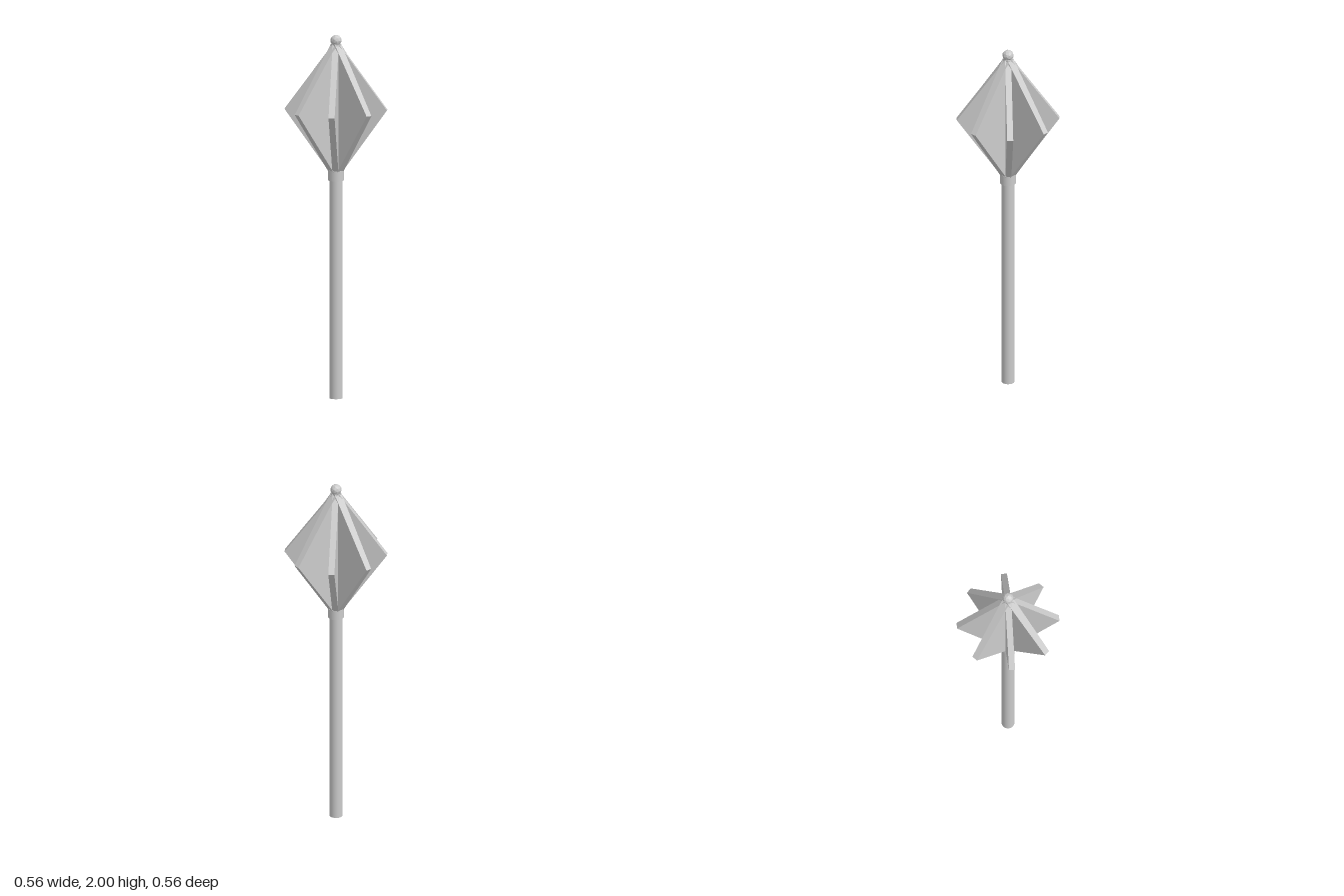
import * as THREE from 'three';

export function createModel() {
  const model = new THREE.Group();
  const smooth = new THREE.MeshStandardMaterial({ color: 0xcccccc });
  const flat = new THREE.MeshStandardMaterial({ color: 0xcccccc, flatShading: true });

  const add = (name, geometry, material, y = 0) => {
    const mesh = new THREE.Mesh(geometry, material);
    mesh.name = name;
    mesh.position.y = y;
    model.add(mesh);
    return mesh;
  };

  // Handle and the collar under the head
  add('shaft', new THREE.CylinderGeometry(0.035, 0.035, 1.22, 24), smooth, 0.61);
  add('collar', new THREE.CylinderGeometry(0.043, 0.043, 0.055, 24), smooth, 1.2275);

  // Faceted knob on the tip
  add('knob', new THREE.IcosahedronGeometry(0.031, 1), flat, 1.969);

  // One flange: half a diamond from the axis outwards
  const outline = new THREE.Shape([
    [0, 1.25], [0.037, 1.25], [0.278, 1.59], [0.016, 1.95], [0, 1.95],
  ].map(([r, y]) => new THREE.Vector2(r, y)));

  // innerHalf and outerHalf are half the thickness at the axis and at the rim
  const flangeGeometry = (innerHalf, outerHalf) => {
    const geometry = new THREE.ExtrudeGeometry(outline, { depth: 2, bevelEnabled: false });
    geometry.translate(0, 0, -1);
    const p = geometry.attributes.position;
    for (let i = 0; i < p.count; i++) {
      const half = THREE.MathUtils.lerp(innerHalf, outerHalf, p.getX(i) / 0.278);
      p.setZ(i, p.getZ(i) * half);
    }
    geometry.computeVertexNormals();
    return geometry;
  };

  // Eight flanges; those on the main axes thicken towards the centre
  const tapered = flangeGeometry(0.023, 0.0165);
  const straight = flangeGeometry(0.0165, 0.0165);
  for (let i = 0; i < 8; i++) {
    const flange = add('flange', i % 2 ? straight : tapered, flat);
    flange.rotation.y = i * Math.PI / 4;
  }

  return model;
}
